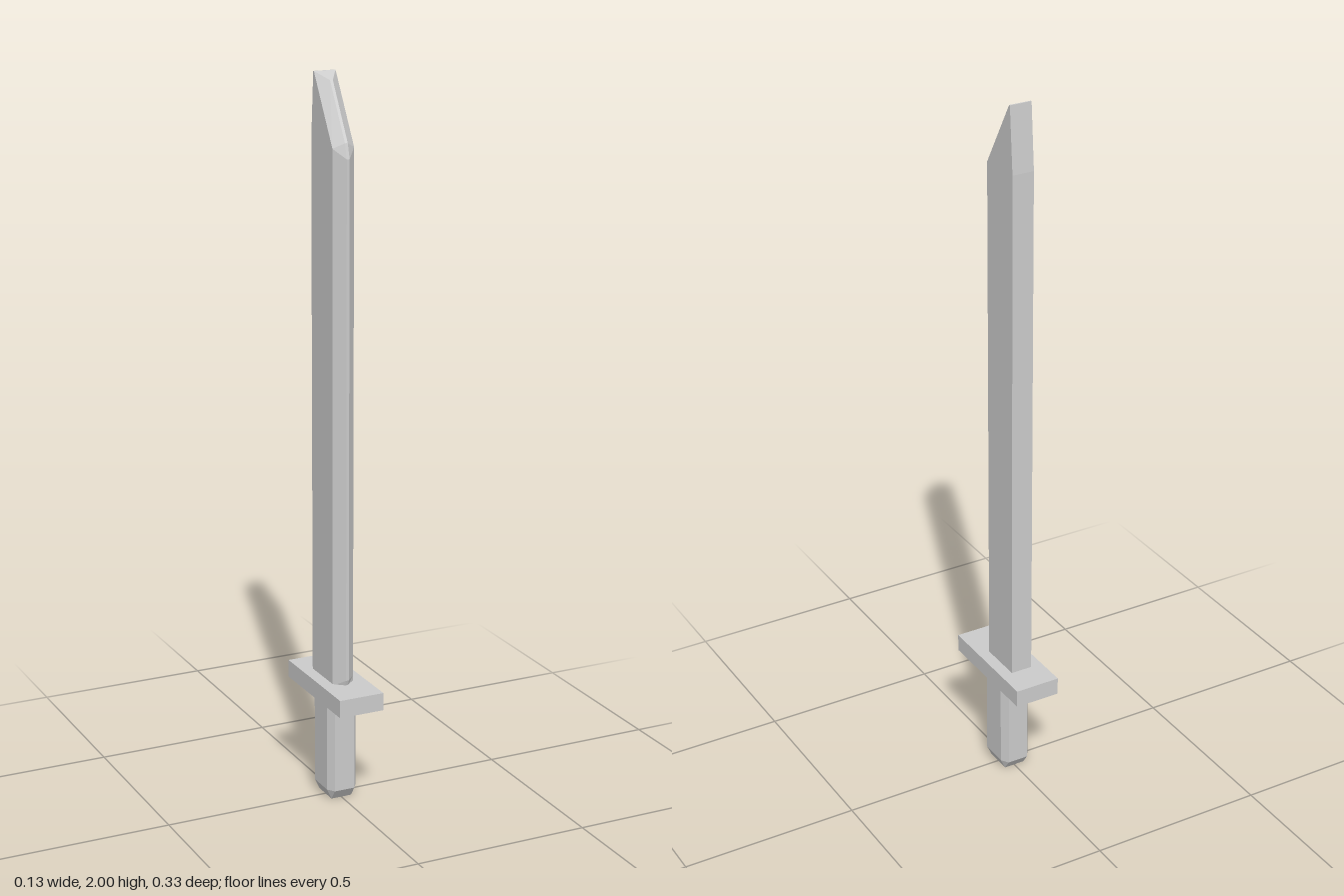
import * as THREE from 'three';

const material = new THREE.MeshStandardMaterial({ color: 0xcccccc, flatShading: true });

// Lofts faceted solids. Each section lists its right-hand points [x, y, z]
// from front to back; the left half is mirrored.
function loft(name, halves) {
  const rings = halves.map((half) => {
    const right = half.map((p) => new THREE.Vector3(...p));
    const left = half.map(([x, y, z]) => new THREE.Vector3(-x, y, z)).reverse();
    return [...right, ...left];
  });
  const n = rings[0].length;
  const points = [];
  const triangle = (a, b, c) => {
    if (new THREE.Triangle(a, b, c).getArea() > 1e-9) points.push(a, b, c);
  };
  const quad = (a, b, c, d) => {
    triangle(a, b, c);
    triangle(a, c, d);
  };

  // Walls
  for (let i = 0; i < rings.length - 1; i++) {
    const low = rings[i], high = rings[i + 1];
    for (let j = 0; j < n; j++) {
      const k = (j + 1) % n;
      quad(low[j], low[k], high[k], high[j]);
    }
  }

  // Caps, filled in strips across the mirror plane
  const bottom = rings[0], top = rings[rings.length - 1];
  for (let k = 0; k < n / 2 - 1; k++) {
    quad(top[k], top[k + 1], top[n - 2 - k], top[n - 1 - k]);
    quad(bottom[n - 1 - k], bottom[n - 2 - k], bottom[k + 1], bottom[k]);
  }

  const geometry = new THREE.BufferGeometry().setFromPoints(points);
  geometry.computeVertexNormals();
  const mesh = new THREE.Mesh(geometry, material);
  mesh.name = name;
  return mesh;
}

export function createModel() {
  const sword = new THREE.Group();
  sword.name = 'sword';

  // Blade: thick flat spine, bevelled narrow edge, slanted clipped tip
  const w = 0.031, e = 0.004;
  sword.add(loft('blade', [
    [[e, 0.34, 0.071], [w, 0.34, 0.048], [w, 0.34, -0.079]],
    [[e, 0.36, 0.077], [w, 0.36, 0.048], [w, 0.36, -0.079]],
    [[e, 1.79, 0.077], [w, 1.815, 0.048], [w, 1.82, -0.079]],
    [[e, 1.83, 0.066], [w, 1.815, 0.048], [w, 1.82, -0.079]],
    [[e, 1.98, -0.022], [w, 2, -0.062], [w, 2, -0.066]],
  ]));

  // Guard: plain slab between blade and grip
  const guard = new THREE.Mesh(new THREE.BoxGeometry(0.13, 0.05, 0.332), material);
  guard.name = 'guard';
  guard.position.y = 0.32;
  sword.add(guard);

  // Grip: box with all edges bevelled, its upper bevel sunk in the guard
  const full = (y) => [[0.03, y, 0.06], [0.044, y, 0.039], [0.044, y, -0.039], [0.03, y, -0.06]];
  const inset = (y) => [[0.03, y, 0.039], [0.03, y, 0.039], [0.03, y, -0.039], [0.03, y, -0.039]];
  sword.add(loft('grip', [inset(0), full(0.03), full(0.285), inset(0.315)]));

  return sword;
}
